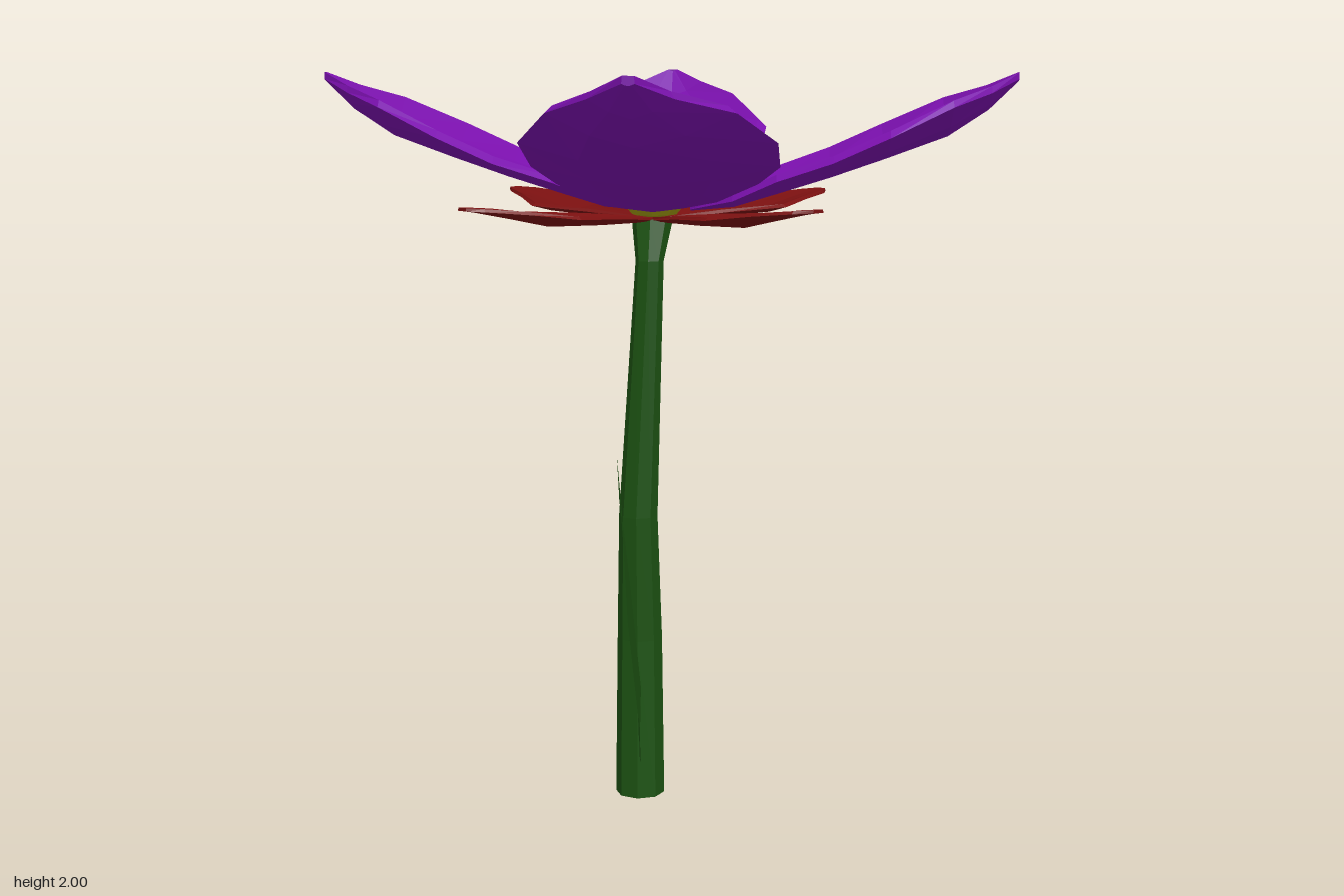
import * as THREE from 'three';

const material = (color, side = THREE.FrontSide) =>
  new THREE.MeshStandardMaterial({ color, flatShading: true, side });

// Joins equal-length closed rings of points into a capped solid.
function skin(rings) {
  const n = rings[0].length, last = (rings.length - 1) * n, index = [];
  for (let i = 0; i < rings.length - 1; i++) {
    for (let j = 0; j < n; j++) {
      const a = i * n + j, b = i * n + (j + 1) % n;
      index.push(a, b, a + n, a + n, b, b + n);
    }
  }
  for (let j = 1; j < n - 1; j++) {
    index.push(0, j + 1, j, last, last + j, last + j + 1);
  }
  const g = new THREE.BufferGeometry();
  g.setAttribute('position', new THREE.Float32BufferAttribute(rings.flat(2), 3));
  g.setIndex(index);
  return g;
}

// Cupped blade along +x with a bevelled rim.
// Each row: distance, width on -z, width on +z, keel height, edge height.
function bladeGeometry(rows, thickness) {
  return skin(rows.map(([u, wNeg, wPos, yMid, yEdge]) => {
    const point = (t, inset, lift) => [
      u,
      yMid + (yEdge - yMid) * Math.abs(t) ** 1.5 + lift,
      t * inset * (t < 0 ? wNeg : wPos),
    ];
    return [
      ...[-1, -0.5, 0, 0.5, 1].map(t => point(t, 0.91, thickness)),
      ...[1, 0.5, 0, -0.5, -1].map(t => point(t, 1, 0)),
    ];
  }));
}

export function createModel() {
  const model = new THREE.Group();
  const add = (name, geometry, mat, x = 0, z = 0) => {
    const mesh = new THREE.Mesh(geometry, mat);
    mesh.name = name;
    mesh.position.set(x, 0, z);
    model.add(mesh);
    return mesh;
  };

  // Four petals; the side pair is slightly smaller
  const petal = bladeGeometry([
    [0.06, 0.03, 0.03, 1.63, 1.635],
    [0.18, 0.175, 0.16, 1.64, 1.665],
    [0.30, 0.285, 0.235, 1.675, 1.72],
    [0.45, 0.34, 0.28, 1.72, 1.77],
    [0.60, 0.335, 0.295, 1.77, 1.835],
    [0.77, 0.24, 0.21, 1.83, 1.91],
    [0.88, 0.10, 0.10, 1.90, 1.945],
    [0.96, 0.015, 0.015, 1.975, 1.98],
  ], 0.018);
  const purple = material(0x7a10ad);
  for (let i = 0; i < 4; i++) {
    const side = i % 2 === 0;
    const mesh = add('petal', petal, purple, side ? 0 : -0.035, side ? -0.02 : 0);
    mesh.rotation.y = 0.435 + i * Math.PI / 2;
    if (side) mesh.scale.set(0.965, 1, 0.965);
  }

  // Four flat sepals in the gaps below the petals
  const sepal = bladeGeometry([
    [0.0, 0.03, 0.03, 1.6, 1.605],
    [0.18, 0.08, 0.08, 1.6, 1.62],
    [0.36, 0.14, 0.14, 1.605, 1.63],
    [0.48, 0.085, 0.095, 1.63, 1.645],
    [0.59, 0.04, 0.055, 1.652, 1.655],
    [0.63, 0.015, 0.02, 1.658, 1.658],
  ], 0.008);
  const red = material(0x7a1010);
  for (let i = 0; i < 4; i++) {
    add('sepal', sepal, red, -0.035).rotation.y = -0.37 + i * Math.PI / 2;
  }

  // Faceted flower centre
  const dome = [[0, 1.61], [0.06, 1.62], [0.09, 1.655], [0.05, 1.69], [0, 1.692]];
  add('flowerCentre',
    new THREE.LatheGeometry(dome.map(p => new THREE.Vector2(...p)), 8, Math.PI / 8),
    material(0xa0980f), -0.035);

  // Eight-sided bent stem: x, y, z, radius
  const stem = [
    [-0.06, 0, 0.04, 0.068],
    [-0.06, 0.45, 0.04, 0.062],
    [-0.053, 0.8, 0.06, 0.053],
    [-0.022, 1.5, 0.05, 0.038],
    [-0.035, 1.61, 0.01, 0.056],
  ];
  add('stem', skin(stem.map(([x, y, z, r]) => Array.from({ length: 8 }, (_, j) => {
    const a = (j + 0.5) * Math.PI / 4;
    return [x + r * Math.sin(a), y, z + r * Math.cos(a)];
  }))), material(0x1c5212));

  // Thin upright leaf: outer edge, midrib and inner edge for each row
  const leafRows = [
    [[-0.03, 0.1, 0.09], [-0.04, 0.11, 0.08], [-0.05, 0.12, 0.07]],
    [[0.07, 0.27, 0.28], [0.02, 0.35, 0.18], [-0.05, 0.46, 0.09]],
    [[0.088, 0.59, 0.375], [0.06, 0.67, 0.31], [0, 0.77, 0.23]],
    [[0.09, 0.8, 0.4], [0.075, 0.85, 0.375], [0.045, 0.9, 0.34]],
    [[0.086, 1.04, 0.425], [0.086, 1.04, 0.425], [0.086, 1.04, 0.425]],
  ];
  const leaf = new THREE.PlaneGeometry(1, 1, 2, leafRows.length - 1);
  leafRows.flat().forEach((p, i) => leaf.attributes.position.setXYZ(i, ...p));
  leaf.computeVertexNormals();
  add('leaf', leaf, material(0x1c5212, THREE.DoubleSide));

  return model;
}
